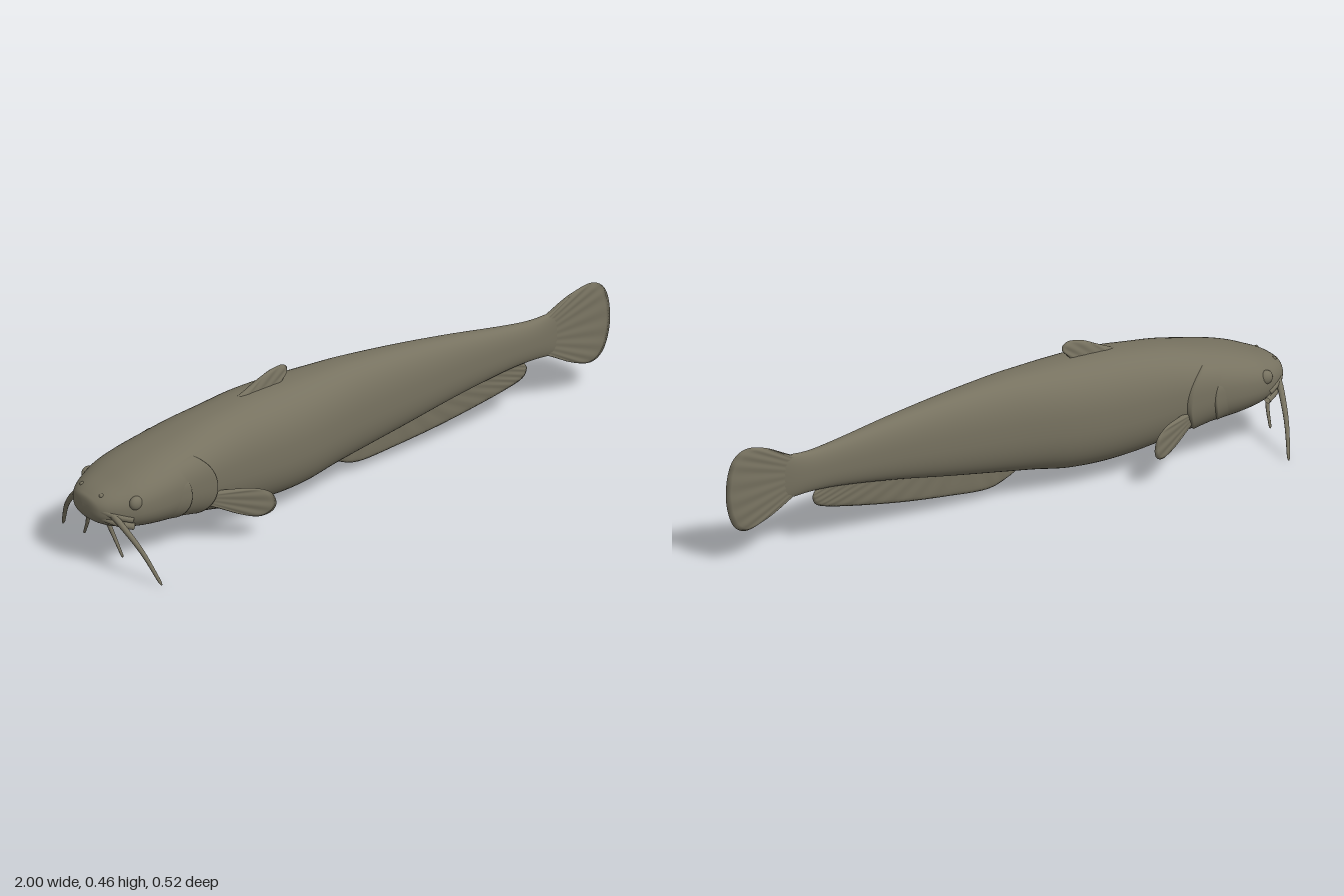
import * as THREE from 'three';

const skin = new THREE.MeshStandardMaterial({ color: 0x777260, side: THREE.DoubleSide });
skin.name = 'olive skin';

// body stations: x, top y, bottom y, half width
const stations = [
  [-1.0, 0.21, 0.20, 0.0], [-0.996, 0.235, 0.182, 0.04], [-0.985, 0.248, 0.165, 0.07],
  [-0.96, 0.264, 0.148, 0.096], [-0.92, 0.282, 0.133, 0.12], [-0.87, 0.303, 0.121, 0.139],
  [-0.8, 0.326, 0.11, 0.147], [-0.7, 0.352, 0.1, 0.146], [-0.6, 0.376, 0.085, 0.141],
  [-0.5, 0.392, 0.066, 0.137], [-0.4, 0.405, 0.057, 0.139], [-0.3, 0.41, 0.055, 0.137],
  [-0.2, 0.411, 0.062, 0.128], [-0.1, 0.41, 0.08, 0.113], [0, 0.408, 0.095, 0.098],
  [0.2, 0.391, 0.126, 0.074], [0.4, 0.366, 0.16, 0.053], [0.6, 0.335, 0.186, 0.034],
  [0.7, 0.324, 0.19, 0.026], [0.77, 0.328, 0.185, 0.016], [0.81, 0.325, 0.19, 0.004],
];

// smooth interpolation of the stations at x: [top, bottom, half width]
function profile(x) {
  let i = 0;
  while (i < stations.length - 2 && x > stations[i + 1][0]) i++;
  const a = stations[i], b = stations[i + 1], h = b[0] - a[0];
  const before = stations[Math.max(i - 1, 0)], after = stations[Math.min(i + 2, stations.length - 1)];
  const t = THREE.MathUtils.clamp((x - a[0]) / h, 0, 1), t2 = t * t, t3 = t2 * t;
  return [1, 2, 3].map((k) => {
    const m0 = (b[k] - before[k]) / (b[0] - before[0]) * h;
    const m1 = (after[k] - a[k]) / (after[0] - a[0]) * h;
    return (2 * t3 - 3 * t2 + 1) * a[k] + (t3 - 2 * t2 + t) * m0 + (3 * t2 - 2 * t3) * b[k] + (t3 - t2) * m1;
  });
}

// point on the body skin; angle 0 is the back, PI/2 is the +z flank
function skinPoint(x, angle, offset = 0) {
  const [top, bottom, width] = profile(x);
  const power = (v) => Math.sign(v) * Math.abs(v) ** (2 / 2.4);
  const c = power(Math.cos(angle)), s = power(Math.sin(angle));
  return [x, (top + bottom) / 2 + c * ((top - bottom) / 2 + offset), s * (Math.max(width, 0) + offset)];
}

// surface from point(u, v) -> [x, y, z], optionally closed around v
function surface(point, nu, nv, closed = false, flip = false) {
  const pos = [], index = [], cols = closed ? nv : nv + 1;
  for (let i = 0; i <= nu; i++) for (let j = 0; j < cols; j++) pos.push(...point(i / nu, j / nv));
  for (let i = 0; i < nu; i++) for (let j = 0; j < nv; j++) {
    const a = i * cols + j, b = i * cols + (j + 1) % cols, c = a + cols, d = b + cols;
    if (flip) index.push(a, c, b, b, c, d);
    else index.push(a, b, c, b, d, c);
  }
  const g = new THREE.BufferGeometry();
  g.setAttribute('position', new THREE.Float32BufferAttribute(pos, 3));
  g.setIndex(index);
  g.computeVertexNormals();
  return g;
}

// thin ribbed fin spanning a base curve and an outer edge, with a rounded rim
function fin(base, edge, thick, ribs, place = (p) => p, flip = false) {
  const spline = (pts) => new THREE.SplineCurve(pts.map((p) => new THREE.Vector2(...p)));
  const inner = spline(base), outer = spline(edge);
  return surface((s, v) => {
    const r = 1 - Math.abs(2 * v - 1);
    const p = inner.getPoint(s).lerp(outer.getPoint(s), r);
    const rim = Math.sqrt(Math.max(0, (1 - r ** 8) * (1 - Math.abs(2 * s - 1) ** 8)));
    const half = thick * (1 - 0.5 * r) * rim * (1 + 0.22 * Math.cos(s * ribs * Math.PI * 2) * r);
    return place([p.x, p.y, v < 0.5 ? half : -half]);
  }, 72, 28, false, flip);
}

// round tapered whisker along a path
function whisker(points, r0, r1) {
  const curve = new THREE.CatmullRomCurve3(points.map((p) => new THREE.Vector3(...p)));
  const n = 24, sides = 10, g = new THREE.TubeGeometry(curve, n, 1, sides);
  const p = g.attributes.position, v = new THREE.Vector3();
  for (let i = 0; i < p.count; i++) {
    const t = Math.floor(i / (sides + 1)) / n, c = curve.getPointAt(t);
    const r = t === 1 ? r1 * 0.4 : THREE.MathUtils.lerp(r0, r1, t);
    v.fromBufferAttribute(p, i).sub(c).multiplyScalar(r).add(c);
    p.setXYZ(i, v.x, v.y, v.z);
  }
  g.computeVertexNormals();
  return g;
}

// raised plate lying on the head, with a curved rear rim
function cover(side, rear, length, height, from, to) {
  return surface((u, v) => {
    const a = THREE.MathUtils.lerp(from, to, u);
    const y = skinPoint(rear, a)[1];
    const x = rear - 4.3 * (y - 0.21) ** 2 - length * (1 - v);
    const fade = Math.sin(Math.PI * u) ** 0.5;
    const lift = v > 0.93 ? 1 - (v - 0.93) / 0.07 * 1.6 : (v / 0.93) ** 1.5;
    const p = skinPoint(x, a, -0.004 + (height + 0.004) * lift * fade);
    return [p[0], p[1], p[2] * side];
  }, 30, 28, false, side > 0);
}

export function createModel() {
  const fish = new THREE.Group();
  fish.name = 'catfish';
  const add = (name, geometry) => {
    const mesh = new THREE.Mesh(geometry, skin);
    mesh.name = name;
    fish.add(mesh);
    return mesh;
  };

  // body and head, with rings packed toward the snout
  add('body', surface((u, v) => skinPoint(-1 + 1.81 * u ** 1.8, v * Math.PI * 2), 110, 56, true));

  // fins on the centre line
  add('tailFin', fin(
    [[0.74, 0.195], [0.75, 0.255], [0.74, 0.318]],
    [[0.78, 0.178], [0.85, 0.135], [0.92, 0.112], [0.965, 0.13], [0.99, 0.18], [1.0, 0.25],
      [0.99, 0.325], [0.965, 0.368], [0.92, 0.386], [0.85, 0.37], [0.78, 0.333]], 0.011, 11));
  add('analFin', fin(
    [[-0.08, 0.1], [0.1, 0.13], [0.3, 0.165], [0.5, 0.19], [0.66, 0.198]],
    [[-0.075, 0.09], [-0.03, 0.063], [0.05, 0.04], [0.2, 0.052], [0.35, 0.07], [0.5, 0.095],
      [0.62, 0.12], [0.67, 0.138], [0.684, 0.165], [0.675, 0.185]], 0.011, 16));
  add('dorsalFin', fin(
    [[-0.25, 0.4], [-0.33, 0.4], [-0.42, 0.395]],
    [[-0.25, 0.415], [-0.228, 0.432], [-0.227, 0.452], [-0.25, 0.464], [-0.3, 0.455], [-0.35, 0.432], [-0.41, 0.405]],
    0.012, 5));

  // mouth: two lips wrapped around the snout
  const lip = (drop, back, r) => {
    const half = [[-0.9, 0.168, 0.122], [-0.94, 0.182, 0.104], [-0.973, 0.197, 0.072], [-0.987, 0.204, 0.035]];
    const shift = ([x, y, z]) => [x + back, y - drop, z];
    const pts = [...half.map(shift), shift([-0.99, 0.206, 0]),
      ...half.map(([x, y, z]) => shift([x, y, -z])).reverse()];
    return new THREE.TubeGeometry(new THREE.CatmullRomCurve3(pts.map((p) => new THREE.Vector3(...p))), 48, r, 10);
  };
  add('upperLip', lip(-0.012, 0.002, 0.011));
  add('lowerLip', lip(0.013, 0.006, 0.011));

  // paired parts
  for (const side of [1, -1]) {
    const tag = side > 0 ? 'left' : 'right';
    const mirror = (pts) => pts.map(([x, y, z]) => [x, y, z * side]);

    add(tag + 'GillCover', cover(side, -0.585, 0.17, 0.012, 0.75, 2.65));
    add(tag + 'CheekPlate', cover(side, -0.685, 0.1, 0.006, 1.3, 2.6));

    add(tag + 'PectoralFin', fin(
      [[-0.61, 0.14], [-0.615, 0.165], [-0.6, 0.186]],
      [[-0.58, 0.13], [-0.53, 0.105], [-0.475, 0.09], [-0.436, 0.104], [-0.423, 0.135],
        [-0.44, 0.172], [-0.49, 0.189], [-0.57, 0.19]],
      0.011, 6, ([x, y, z]) => [x, y, side * (0.128 + (x + 0.6) * 0.5 + z)], side < 0));

    add(tag + 'LongWhisker', whisker(mirror(
      [[-0.955, 0.205, 0.085], [-0.945, 0.18, 0.12], [-0.917, 0.105, 0.195], [-0.886, 0.006, 0.256]]), 0.011, 0.005));
    add(tag + 'ChinWhisker', whisker(mirror(
      [[-0.945, 0.165, 0.05], [-0.93, 0.11, 0.068], [-0.92, 0.048, 0.1]]), 0.008, 0.004));

    const eye = add(tag + 'Eye', new THREE.SphereGeometry(0.023, 20, 14));
    eye.scale.z = 0.7;
    eye.position.set(-0.888, 0.235, 0.124 * side);
    const nostril = add(tag + 'Nostril', new THREE.SphereGeometry(0.008, 12, 8));
    nostril.position.set(-0.965, 0.252, 0.05 * side);
  }
  return fish;
}
